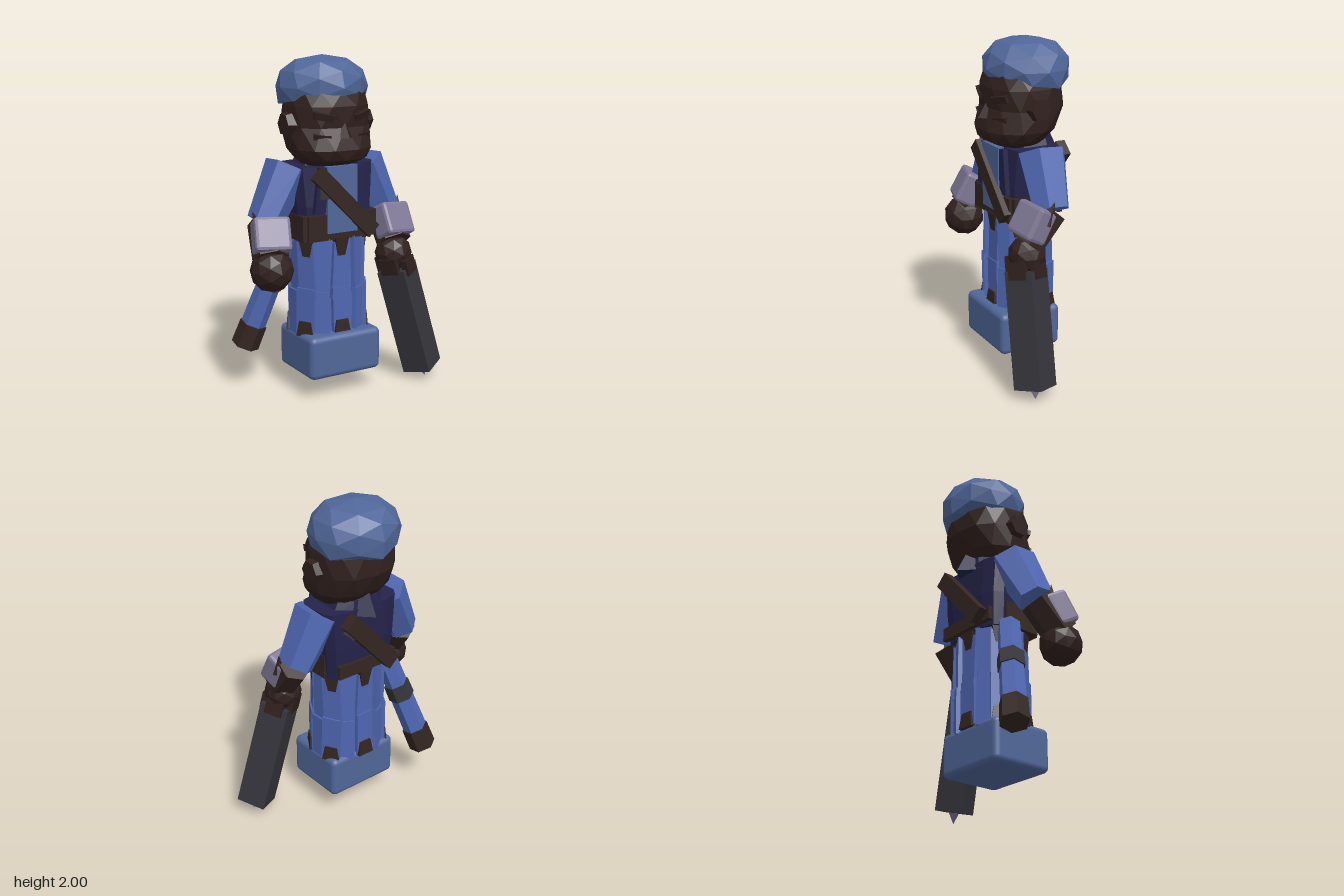
import * as THREE from 'three';
import { RoundedBoxGeometry } from 'three/addons/geometries/RoundedBoxGeometry.js';

const mat = (name, color) => {
  const m = new THREE.MeshStandardMaterial({ color });
  m.name = name;
  return m;
};
const V = (x, y, z) => new THREE.Vector3(x, y, z);
const CX = -0.06; // body centre line

export function createModel() {
  const cloth = mat('blue cloth', 0x4f67b2);
  const felt = mat('dusty blue', 0x506799);
  const navy = mat('navy jacket', 0x24234a);
  const skin = mat('dark brown skin', 0x30201d);
  const leather = mat('brown leather', 0x342621);
  const cuffGrey = mat('lavender grey', 0x807896);
  const iron = mat('dark iron', 0x36353b);
  const model = new THREE.Group();

  const add = (name, geo, material, pos = [0, 0, 0], rot = [0, 0, 0], smooth = false) => {
    let g = geo;
    if (!smooth) {
      if (g.index) g = g.toNonIndexed();
      g.computeVertexNormals();
    }
    const mesh = new THREE.Mesh(g, material);
    mesh.name = name;
    mesh.position.set(...pos);
    mesh.rotation.set(...rot);
    model.add(mesh);
    return mesh;
  };
  const box = (name, size, material, pos, rot) => add(name, new THREE.BoxGeometry(...size), material, pos, rot);

  // Point on a rounded-square outline
  const outline = (t, hw, zf, zb, e) => {
    const c = Math.cos(t), s = Math.sin(t);
    return [hw * Math.sign(c) * Math.abs(c) ** e, (zf + zb) / 2 + (zf - zb) / 2 * Math.sign(s) * Math.abs(s) ** e];
  };
  // Closed loft through rings [y, half width, front z, back z], from the bottom up; twist staggers the rings
  const loft = (rings, n, e, twist = 0) => {
    const pos = [], idx = [], last = rings.length - 1;
    rings.forEach(([y, hw, zf, zb], i) => {
      for (let j = 0; j < n; j++) {
        const [x, z] = outline((j + 0.5 + i * twist) / n * Math.PI * 2, hw, zf, zb, e);
        pos.push(CX + x, y, z);
      }
    });
    for (const i of [0, last]) pos.push(CX, rings[i][0], (rings[i][2] + rings[i][3]) / 2);
    const low = rings.length * n, high = low + 1;
    for (let j = 0; j < n; j++) {
      const k = (j + 1) % n;
      for (let i = 0; i < last; i++) {
        const a = i * n + j, b = i * n + k;
        idx.push(a, a + n, b, b, a + n, b + n);
      }
      idx.push(low, j, k, high, last * n + k, last * n + j);
    }
    const g = new THREE.BufferGeometry();
    g.setAttribute('position', new THREE.Float32BufferAttribute(pos, 3));
    g.setIndex(idx);
    return g;
  };
  // Place a y-aligned geometry between two points, a being the upper end
  const between = (name, makeGeo, material, a, b, yaw = 0) => {
    const dir = a.clone().sub(b), len = dir.length();
    const mesh = add(name, makeGeo(len), material);
    mesh.position.copy(a).add(b).multiplyScalar(0.5);
    mesh.quaternion.setFromUnitVectors(V(0, 1, 0), dir.normalize())
      .multiply(new THREE.Quaternion().setFromAxisAngle(V(0, 1, 0), yaw));
    return mesh;
  };
  const tube = (r1, r2, n) => (len) => new THREE.CylinderGeometry(r1, r2, len, n);
  const bar = (w, d) => (len) => new THREE.BoxGeometry(w, len, d);

  // Shoes, pressed together
  for (const s of [-1, 1])
    add('shoe', new RoundedBoxGeometry(0.275, 0.26, 0.4, 3, 0.035), felt, [CX + s * 0.1025, 0.26, 0.03], [0, 0, 0], true);

  // Robe with two tiers of hanging panels and a patched hem
  add('robe', loft([[0.34, 0.215, 0.15, -0.15], [0.65, 0.205, 0.14, -0.15], [0.98, 0.2, 0.13, -0.15]], 12, 0.7), cloth);
  const count = 12;
  for (let k = 0; k < count; k++) {
    const t = k / count * Math.PI * 2;
    const [x, z] = outline(t, 0.21, 0.15, -0.155, 0.75);
    const turn = Math.PI / 2 - t, sway = (k % 3 - 1) * 0.05;
    box('upperPanel', [0.11, 0.34, 0.025], cloth, [CX + x, 0.79 - (k % 2) * 0.03, z], [0, turn, sway]);
    box('lowerPanel', [0.115, 0.28, 0.025], cloth, [CX + x * 1.06, 0.5 + (k % 2) * 0.02, z * 1.04], [0, turn, -sway / 2]);
    if (k % 2) {
      const patch = new THREE.CylinderGeometry(0.055, 0.078, 0.09, 4, 1, false, Math.PI / 4).scale(1, 1, 0.5);
      add('hemPatch', patch, leather, [CX + x * 1.05, 0.415, z * 1.06], [0, turn, 0]);
      const tab = new THREE.CylinderGeometry(0.065, 0.035, 0.11, 4, 1, false, Math.PI / 4).scale(1, 1, 0.5);
      add('beltTab', tab, leather, [CX + x, 0.905, z * 1.02], [0, turn, 0]);
    }
  }

  // Jacket, belt, shirt and collar
  add('jacket', loft([[0.95, 0.23, 0.15, -0.17], [1.15, 0.25, 0.155, -0.185], [1.38, 0.27, 0.14, -0.18]], 12, 0.45), navy);
  box('frontBelt', [0.44, 0.15, 0.08], leather, [CX, 1.025, 0.13]);
  for (const s of [-1, 1]) box('sideBelt', [0.05, 0.15, 0.24], leather, [CX + s * 0.222, 1.025, 0.03]);
  box('backBelt', [0.42, 0.08, 0.03], leather, [CX, 1.01, -0.178]);
  box('shirt', [0.2, 0.39, 0.04], felt, [CX, 1.185, 0.157]);
  for (const s of [-1, 1])
    box('lapel', [0.07, 0.27, 0.03], navy, [CX + s * 0.13, 1.24, 0.155], [0, 0, s * 0.12]);
  add('collar', loft([[1.34, 0.21, 0.14, -0.19], [1.43, 0.16, 0.1, -0.17]], 8, 0.7), navy);
  add('collarPoint', new THREE.ConeGeometry(0.14, 0.28, 4), navy, [CX, 1.48, -0.12]);

  // Shoulder strap, front and back
  between('frontStrap', bar(0.095, 0.045), leather, V(-0.23, 1.35, 0.18), V(0.14, 0.98, 0.185));
  between('backStrap', bar(0.1, 0.06), leather, V(0.11, 1.35, -0.22), V(-0.22, 0.99, -0.22));
  box('buckle', [0.06, 0.11, 0.02], iron, [-0.18, 1.25, 0.17]);
  box('backBuckle', [0.08, 0.07, 0.03], iron, [0.07, 1.26, -0.2], [0, 0, 0.75]);

  // Head, wider at the cheeks, with a protruding mouth
  add('head', loft([
    [1.375, 0.16, 0.14, -0.1], [1.415, 0.21, 0.22, -0.15], [1.475, 0.25, 0.24, -0.205],
    [1.6, 0.255, 0.2, -0.26], [1.72, 0.25, 0.205, -0.25], [1.8, 0.225, 0.175, -0.22],
  ], 12, 0.85, 0.5), skin);
  for (const s of [-1, 1]) {
    add('ear', new THREE.CylinderGeometry(0.065, 0.085, 0.08, 6), skin, [CX + s * 0.245, 1.615, -0.01], [0, 0, -s * Math.PI / 2]);
    box('eyelid', [0.1, 0.03, 0.05], skin, [CX + s * 0.13, 1.555, 0.165], [0.3, s * 0.35, 0]);
    box('brow', [0.12, 0.04, 0.05], skin, [CX + s * 0.12, 1.67, 0.165], [0.3, s * 0.35, s * 0.1]);
  }
  add('nose', new THREE.ConeGeometry(0.075, 0.12, 4), skin, [CX, 1.605, 0.178]);

  // Faceted cap with steep sides and a flat underside that rises towards the brow
  const capGeo = new THREE.IcosahedronGeometry(1, 1), p = capGeo.attributes.position;
  for (let i = 0; i < p.count; i++) {
    const y = p.getY(i), r = Math.hypot(p.getX(i), p.getZ(i));
    const spread = y < 0 && r > 0.8 ? 0.95 / r : r > 0.5 ? r ** -0.25 : 1;
    const z = p.getZ(i) * 0.258 * spread;
    p.setXYZ(i, p.getX(i) * 0.274 * spread, Math.max(y * (y > 0 ? 0.18 : 0.2), -0.09 + z * 0.2), z);
  }
  add('cap', capGeo, felt, [CX, 1.82, -0.06]);

  // Arms: sleeve, forearm, cuff and hand
  const arms = [
    { shoulder: V(-0.305, 1.365, -0.03), elbow: V(-0.472, 1.06, -0.01), wrist: V(-0.51, 0.88, 0.14), roll: 0.16, yaw: -0.35 },
    { shoulder: V(0.185, 1.365, -0.03), elbow: V(0.335, 1.06, -0.01), wrist: V(0.325, 0.88, 0.14), roll: 0, yaw: 0.3 },
  ];
  for (const { shoulder, elbow, wrist, roll, yaw } of arms) {
    const s = Math.sign(shoulder.x), side = s < 0 ? 'right' : 'left';
    between(side + 'Sleeve', (len) => tube(0.15, 0.115, 6)(len).scale(0.88, 1, 1), cloth, shoulder, elbow);
    between(side + 'Forearm', tube(0.1, 0.105, 6), leather, elbow, wrist);
    const mid = elbow.clone().lerp(wrist, 0.55);
    add(side + 'Cuff', new RoundedBoxGeometry(0.21, 0.2, 0.14, 1, 0.02), cuffGrey, [mid.x, mid.y + 0.045, mid.z + 0.04], [-0.5, yaw * 0.6, -roll]);
    for (const d of [-1, 1])
      add(side + 'CuffSpike', new THREE.ConeGeometry(0.05, 0.14, 4), leather, [elbow.x + d * 0.075, 1.075, 0.04], [-0.3, 0, -d * 0.25]);
    const r = s < 0 ? 0.126 : 0.112;
    add(side + 'Hand', new THREE.IcosahedronGeometry(r, 1), skin, [wrist.x + s * -0.005, 0.815, 0.14]);
  }

  // Heavy square blade casing held in the left hand
  const top = V(0.335, 0.725, 0.155), end = V(0.514, 0.07, 0.192);
  between('bladeCasing', bar(0.178, 0.178), iron, top, end, Math.PI / 6);
  between('bladeTip', (len) => new THREE.ConeGeometry(0.04, len, 4).rotateX(Math.PI), cuffGrey, end, V(0.53, 0.005, 0.2));
  const axis = top.clone().sub(end).normalize();
  for (let k = 0; k < 4; k++) {
    const a = k * Math.PI / 2 + Math.PI / 6;
    const at = top.clone().add(V(Math.cos(a) * 0.085, 0, -Math.sin(a) * 0.085));
    between('finger', bar(0.04, 0.11), skin, at.clone().addScaledVector(axis, 0.07), at.clone().addScaledVector(axis, -0.03), a);
  }

  // Scabbard slung behind the right hip
  const hip = V(-0.29, 0.96, -0.06), foot = V(-0.51, 0.265, -0.22);
  const along = (f) => hip.clone().lerp(foot, f);
  between('scabbard', tube(0.068, 0.077, 6), cloth, hip, along(0.97));
  between('scabbardBand', tube(0.08, 0.082, 6), iron, along(0.33), along(0.47));
  between('scabbardEnd', tube(0.083, 0.085, 6), leather, along(0.8), foot);

  return model;
}
